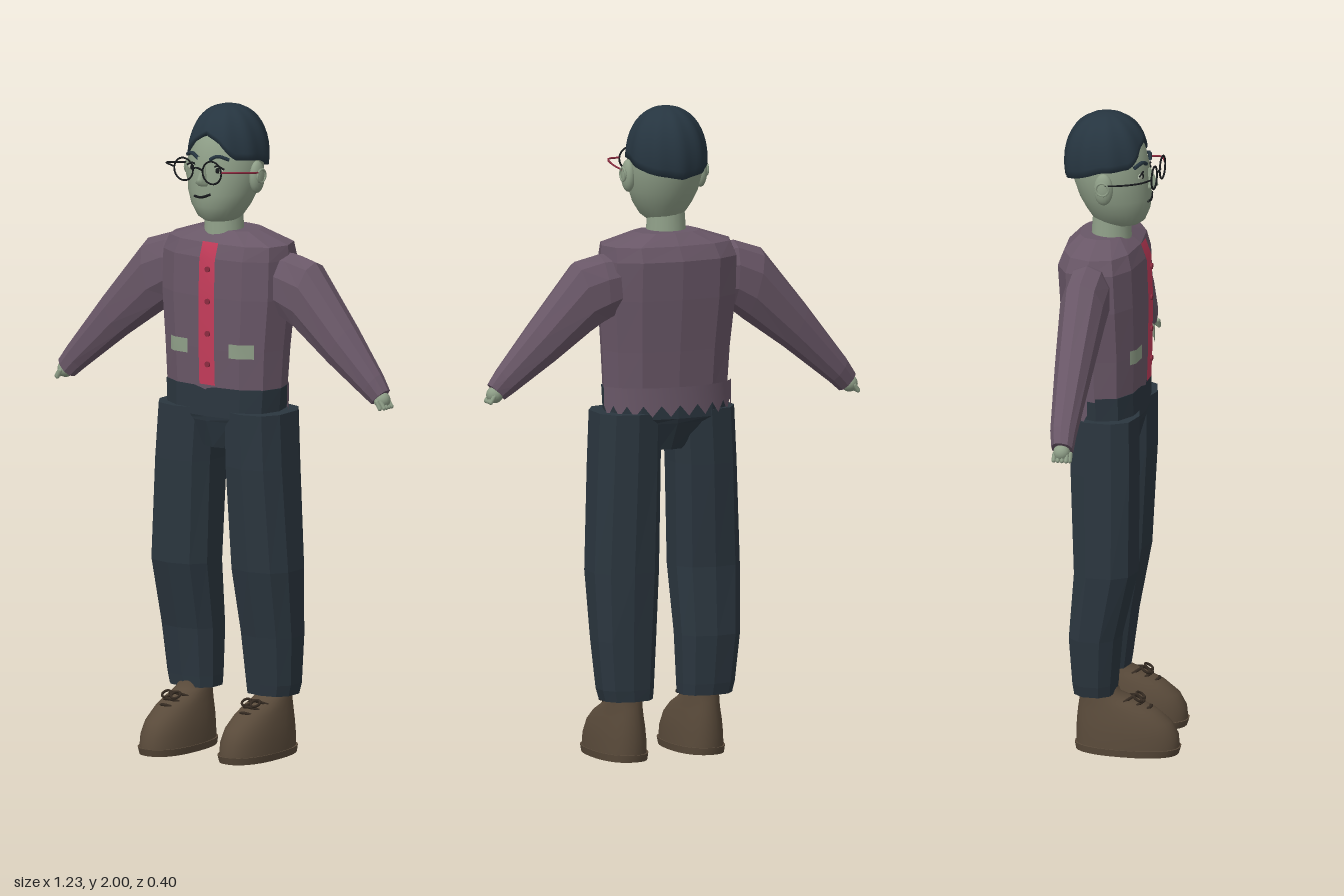
import * as THREE from 'three';

const V = (x, y, z) => new THREE.Vector3(x, y, z);
const CX = 0.018; // the body stands slightly off the centre line

function makeMaterials() {
  const colours = {
    skin: 0x8f9f88, shirt: 0x695767, trousers: 0x2b363f, hair: 0x263540, red: 0xc43c5a,
    darkRed: 0x8c2c40, shoe: 0x594a3a, lace: 0x352b22, black: 0x17191c, eyeWhite: 0xb9c4ae,
  };
  const mats = {};
  for (const [name, color] of Object.entries(colours)) {
    mats[name] = new THREE.MeshStandardMaterial({ color, side: THREE.DoubleSide });
    mats[name].name = name;
  }
  return mats;
}

// Skin a list of closed rings of points, with flat caps at both ends
function skinRings(rings, flat) {
  const n = rings[0].length, last = rings.length - 1, pos = [], idx = [];
  rings.forEach((r) => r.forEach((p) => pos.push(p.x, p.y, p.z)));
  for (let i = 0; i < last; i++) for (let j = 0; j < n; j++) {
    const a = i * n + j, b = i * n + (j + 1) % n;
    idx.push(a, b, b + n, a, b + n, a + n);
  }
  for (const end of [0, last]) {
    const base = pos.length / 3, c = V(0, 0, 0);
    rings[end].forEach((p) => { pos.push(p.x, p.y, p.z); c.addScaledVector(p, 1 / n); });
    pos.push(c.x, c.y, c.z);
    for (let j = 0; j < n; j++) {
      const a = base + j, b = base + (j + 1) % n;
      if (end === 0) idx.push(base + n, b, a); else idx.push(base + n, a, b);
    }
  }
  let g = new THREE.BufferGeometry();
  g.setAttribute('position', new THREE.Float32BufferAttribute(pos, 3));
  g.setIndex(idx);
  if (flat) g = g.toNonIndexed();
  g.computeVertexNormals();
  return g;
}

// Superellipse ring: e = 1 is an ellipse, smaller is squarer
function ring(c, u, v, n, e = 1) {
  const pw = (t) => Math.sign(t) * Math.pow(Math.abs(t), e);
  return Array.from({ length: n }, (_, j) => {
    const a = (j / n) * Math.PI * 2;
    return c.clone().addScaledVector(u, pw(Math.cos(a))).addScaledVector(v, pw(Math.sin(a)));
  });
}

// Rows are [y, xMin, xMax, zMin, zMax], from bottom to top
const stack = (rows, n, e, flat) => skinRings(rows.map(([y, x0, x1, z0, z1]) => ring(
  V((x0 + x1) / 2, y, (z0 + z1) / 2), V(0, 0, (z1 - z0) / 2), V((x1 - x0) / 2, 0, 0), n, e)), flat);

// Thin open strip along a path, reaching half to each side
function ribbon(path, half) {
  const pos = [], idx = [];
  path.forEach((p, i) => {
    const h = Array.isArray(half) ? half[i] : half;
    for (const s of [-1, 1]) pos.push(p.x + s * h.x, p.y + s * h.y, p.z + s * h.z);
    if (i) { const k = 2 * i; idx.push(k - 2, k, k - 1, k, k + 1, k - 1); }
  });
  const g = new THREE.BufferGeometry();
  g.setAttribute('position', new THREE.Float32BufferAttribute(pos, 3));
  g.setIndex(idx);
  g.computeVertexNormals();
  return g;
}

const tube = (pts, r) => new THREE.TubeGeometry(new THREE.CatmullRomCurve3(pts), 16, r, 6);

export function createModel() {
  const model = new THREE.Group(), M = makeMaterials();
  const add = (name, geo, mat, p) => {
    const m = new THREE.Mesh(geo, mat);
    m.name = name;
    if (p) m.position.copy(p);
    model.add(m);
    return m;
  };
  const blob = (name, mat, p, sx, sy, sz) =>
    add(name, new THREE.SphereGeometry(1, 16, 12), mat, p).scale.set(sx, sy, sz);

  // Shirt body
  add('shirtBody', stack([
    [1.13, -0.18, 0.22, -0.165, 0.06], [1.26, -0.187, 0.227, -0.175, 0.065],
    [1.42, -0.203, 0.24, -0.19, 0.065], [1.54, -0.203, 0.24, -0.198, 0.06],
    [1.585, -0.185, 0.235, -0.18, 0.045], [1.62, -0.08, 0.125, -0.14, 0],
  ], 12, 0.8, true), M.shirt);

  // Zigzag hem hanging over the back of the trousers
  const hemTop = [], hemHalf = [];
  for (let i = 0; i <= 20; i++) {
    const a = Math.PI * (0.55 + (0.9 * i) / 20), h = i % 2 ? 0.045 : 0.028;
    hemTop.push(V(0.02 + 0.212 * Math.sin(a), 1.15 - h, -0.053 + 0.122 * Math.cos(a)));
    hemHalf.push(V(0, h, 0));
  }
  add('shirtHem', ribbon(hemTop, hemHalf), M.shirt);

  // Button band, buttons and pockets
  add('buttonBand', ribbon([V(0.03, 1.15, 0.068), V(0.03, 1.26, 0.072), V(0.03, 1.42, 0.073),
    V(0.03, 1.54, 0.068), V(0.03, 1.59, 0.05)], V(0.029, 0, 0)), M.red);
  for (const y of [1.215, 1.31, 1.41, 1.51]) {
    add('button', new THREE.CylinderGeometry(0.009, 0.009, 0.006, 10), M.darkRed, V(0.036, y, 0.075))
      .rotation.x = Math.PI / 2;
  }
  add('rightPocket', ribbon([V(-0.122, 1.262, 0.045), V(-0.1, 1.262, 0.06), V(-0.047, 1.262, 0.064)],
    V(0, 0.022, 0)), M.skin);
  add('leftPocket', ribbon([V(0.107, 1.262, 0.064), V(0.14, 1.262, 0.06), V(0.182, 1.262, 0.034)],
    V(0, 0.022, 0)), M.skin);

  // Sleeves: [top x, top y, bottom x, bottom y, z, half depth] from shoulder to wrist
  const sleeves = {
    left: [[0.2, 1.56, 0.19, 1.37, -0.08, 0.07], [0.25, 1.56, 0.235, 1.35, -0.08, 0.077],
      [0.33, 1.542, 0.275, 1.325, -0.08, 0.072], [0.475, 1.36, 0.4, 1.235, -0.075, 0.058],
      [0.58, 1.225, 0.525, 1.15, -0.07, 0.037], [0.61, 1.18, 0.555, 1.13, -0.068, 0.028]],
    right: [[-0.16, 1.57, -0.15, 1.37, -0.07, 0.065], [-0.2, 1.575, -0.185, 1.365, -0.07, 0.07],
      [-0.29, 1.545, -0.23, 1.33, -0.07, 0.07], [-0.44, 1.36, -0.365, 1.235, -0.065, 0.056],
      [-0.575, 1.185, -0.52, 1.115, -0.06, 0.04], [-0.605, 1.14, -0.555, 1.085, -0.055, 0.034]],
  };
  for (const [side, rows] of Object.entries(sleeves)) {
    const s = side === 'left' ? 1 : -1;
    add(side + 'Sleeve', skinRings(rows.map(([tx, ty, bx, by, z, d]) => ring(
      V((tx + bx) / 2, (ty + by) / 2, z), V((tx - bx) / 2, (ty - by) / 2, 0), V(0, 0, s * d), 10, 0.9)), true), M.shirt);
  }

  // Hands: a small palm with curled fingers and a thumb
  for (const [side, s, x, y, z] of [['left', 1, 0.588, 1.147, -0.068], ['right', -1, -0.588, 1.105, -0.055]]) {
    blob(side + 'Palm', M.skin, V(x, y, z), 0.026, 0.026, 0.026);
    for (let i = 0; i < 4; i++) {
      const f = add(side + 'Finger', new THREE.CapsuleGeometry(0.007, 0.02, 3, 6), M.skin,
        V(x + s * 0.015, y - 0.012, z - 0.02 + i * 0.013));
      f.rotation.z = s * 0.6;
    }
    add(side + 'Thumb', new THREE.CapsuleGeometry(0.007, 0.022, 3, 6), M.skin,
      V(x + s * 0.006, y - 0.012, z + 0.028)).rotation.z = s * 0.5;
  }

  // Trousers: hips and two legs
  add('hips', stack([
    [0.95, -0.035, 0.09, -0.12, 0.035], [1.035, -0.12, 0.16, -0.155, 0.06],
    [1.05, -0.175, 0.215, -0.16, 0.062], [1.142, -0.18, 0.222, -0.16, 0.06],
  ], 12, 0.75, true), M.trousers);
  add('rightLeg', stack([
    [0.185, -0.19, -0.022, -0.13, 0.002], [0.22, -0.198, -0.02, -0.135, 0.005],
    [0.37, -0.215, -0.015, -0.145, 0.02], [0.58, -0.225, -0.008, -0.13, 0.07],
    [0.9, -0.21, 0, -0.145, 0.072], [1.07, -0.2, 0.01, -0.15, 0.068],
  ], 10, 0.8, true), M.trousers);
  add('leftLeg', stack([
    [0.185, 0.083, 0.245, -0.16, -0.02], [0.22, 0.08, 0.255, -0.163, -0.015],
    [0.37, 0.07, 0.268, -0.165, 0.005], [0.58, 0.055, 0.276, -0.165, 0.045],
    [0.9, 0.047, 0.262, -0.165, 0.065], [1.07, 0.045, 0.255, -0.165, 0.066],
  ], 10, 0.8, true), M.trousers);

  // Shoes with ankle, sole and laces
  for (const [side, x, z] of [['right', -0.103, 0], ['left', 0.167, -0.04]]) {
    const row = ([y, w, back, front]) => [y, x - w, x + w, z + back, z + front];
    add(side + 'Sole', stack([[0, 0.079, -0.126, 0.193], [0.022, 0.082, -0.13, 0.2]].map(row), 28, 0.85, false), M.shoe);
    add(side + 'Shoe', stack([[0.02, 0.079, -0.126, 0.196], [0.06, 0.077, -0.126, 0.192],
      [0.1, 0.071, -0.124, 0.17], [0.135, 0.062, -0.12, 0.125], [0.16, 0.055, -0.116, 0.07],
      [0.18, 0.05, -0.112, 0.012], [0.21, 0.046, -0.108, 0]].map(row), 28, 0.9, false), M.shoe);
    for (const [y, dz] of [[0.14, 0.108], [0.155, 0.085], [0.17, 0.055]]) {
      add(side + 'Lace', tube([V(x - 0.042, y - 0.01, z + dz - 0.03), V(x, y + 0.006, z + dz),
        V(x + 0.042, y - 0.01, z + dz - 0.03)], 0.005), M.lace);
    }
    for (const s of [-1, 1]) {
      add(side + 'LaceBow', new THREE.TorusGeometry(0.015, 0.004, 6, 12), M.lace,
        V(x + s * 0.017, 0.172, z + 0.07)).rotation.x = -1;
    }
  }

  // Neck and head
  add('neck', new THREE.CylinderGeometry(0.055, 0.062, 0.1, 20), M.skin, V(0.013, 1.655, -0.045));
  const headRow = ([y, w, back, front]) => [y, CX - w, CX + w, back, front];
  add('head', stack([[1.652, 0.05, -0.09, 0.04], [1.665, 0.066, -0.1, 0.058], [1.7, 0.089, -0.123, 0.073],
    [1.74, 0.105, -0.145, 0.077], [1.79, 0.114, -0.162, 0.074], [1.84, 0.116, -0.172, 0.069],
    [1.89, 0.107, -0.165, 0.057], [1.93, 0.085, -0.145, 0.033], [1.965, 0.045, -0.105, -0.01],
  ].map(headRow), 28, 1, false), M.skin);
  for (const s of [-1, 1]) {
    blob('ear', M.skin, V(CX + s * 0.119, 1.79, -0.043), 0.02, 0.05, 0.03);
    add('earRim', new THREE.TorusGeometry(0.02, 0.004, 6, 14), M.skin, V(CX + s * 0.136, 1.795, -0.043))
      .rotation.y = Math.PI / 2;
  }

  // Hair: grooved cap whose lower edge follows the hairline, parted in front
  const hairline = [[0, 1.925], [0.4, 1.9], [0.8, 1.85], [1.5, 1.842], [2.2, 1.81], [3.2, 1.79]];
  const lineAt = (a) => {
    const k = hairline.findIndex((p) => p[0] > a), [a0, y0] = hairline[k - 1], [a1, y1] = hairline[k];
    return y0 + ((y1 - y0) * (a - a0)) / (a1 - a0);
  };
  const hairRings = [[0, 0.88], [0, 1]];
  for (let i = 1; i <= 12; i++) hairRings.push([i / 12.05, 1]);
  add('hair', skinRings(hairRings.map(([t, k]) => Array.from({ length: 60 }, (_, j) => {
    const a = (j / 60) * Math.PI * 2, low = Math.asin((lineAt(Math.min(a, Math.PI * 2 - a)) - 1.84) / 0.16);
    const el = low + (Math.PI / 2 - low) * t;
    const r = k * Math.pow(Math.cos(el), 0.85) * (1 + 0.025 * Math.cos(10 * a + 1.5 * t));
    return V(CX + 0.122 * r * Math.sin(a), 1.84 + 0.16 * Math.sin(el), -0.06 + 0.132 * r * Math.cos(a));
  })), false), M.hair);

  // Face: eyes, brows, nose and mouth
  for (const s of [-1, 1]) {
    const x = CX + s * 0.047;
    blob('eye', M.eyeWhite, V(x, 1.818, 0.056), 0.02, 0.011, 0.008);
    blob('pupil', M.black, V(x, 1.818, 0.062), 0.008, 0.009, 0.004);
    add('eyelid', tube([V(x - 0.022, 1.823, 0.058), V(x, 1.832, 0.063), V(x + 0.022, 1.823, 0.058)], 0.003), M.black);
    add('brow', tube([V(CX + s * 0.022, 1.85, 0.068), V(x, 1.862, 0.062), V(CX + s * 0.078, 1.852, 0.044)], 0.006), M.hair);
  }
  add('nose', stack([[1.768, CX - 0.018, CX + 0.018, 0.05, 0.086], [1.778, CX - 0.02, CX + 0.02, 0.05, 0.1],
    [1.79, CX - 0.013, CX + 0.013, 0.05, 0.097], [1.83, CX - 0.009, CX + 0.009, 0.05, 0.077],
  ], 12, 1, false), M.skin);
  add('mouth', tube([V(-0.012, 1.733, 0.075), V(0.015, 1.732, 0.078), V(0.048, 1.744, 0.073)], 0.004), M.black);

  // Round glasses
  for (const s of [-1, 1]) {
    add('lensRim', new THREE.TorusGeometry(0.035, 0.003, 6, 28), M.black, V(CX + s * 0.053, 1.818, 0.1));
    add('temple', tube([V(CX + s * 0.088, 1.822, 0.1), V(CX + s * 0.135, 1.824, 0.075),
      V(CX + s * 0.142, 1.815, 0.02), V(CX + s * 0.132, 1.805, -0.045)], 0.003), s > 0 ? M.darkRed : M.black);
  }
  add('bridge', tube([V(CX - 0.019, 1.822, 0.1), V(CX, 1.829, 0.106), V(CX + 0.019, 1.822, 0.1)], 0.003), M.black);

  return model;
}
